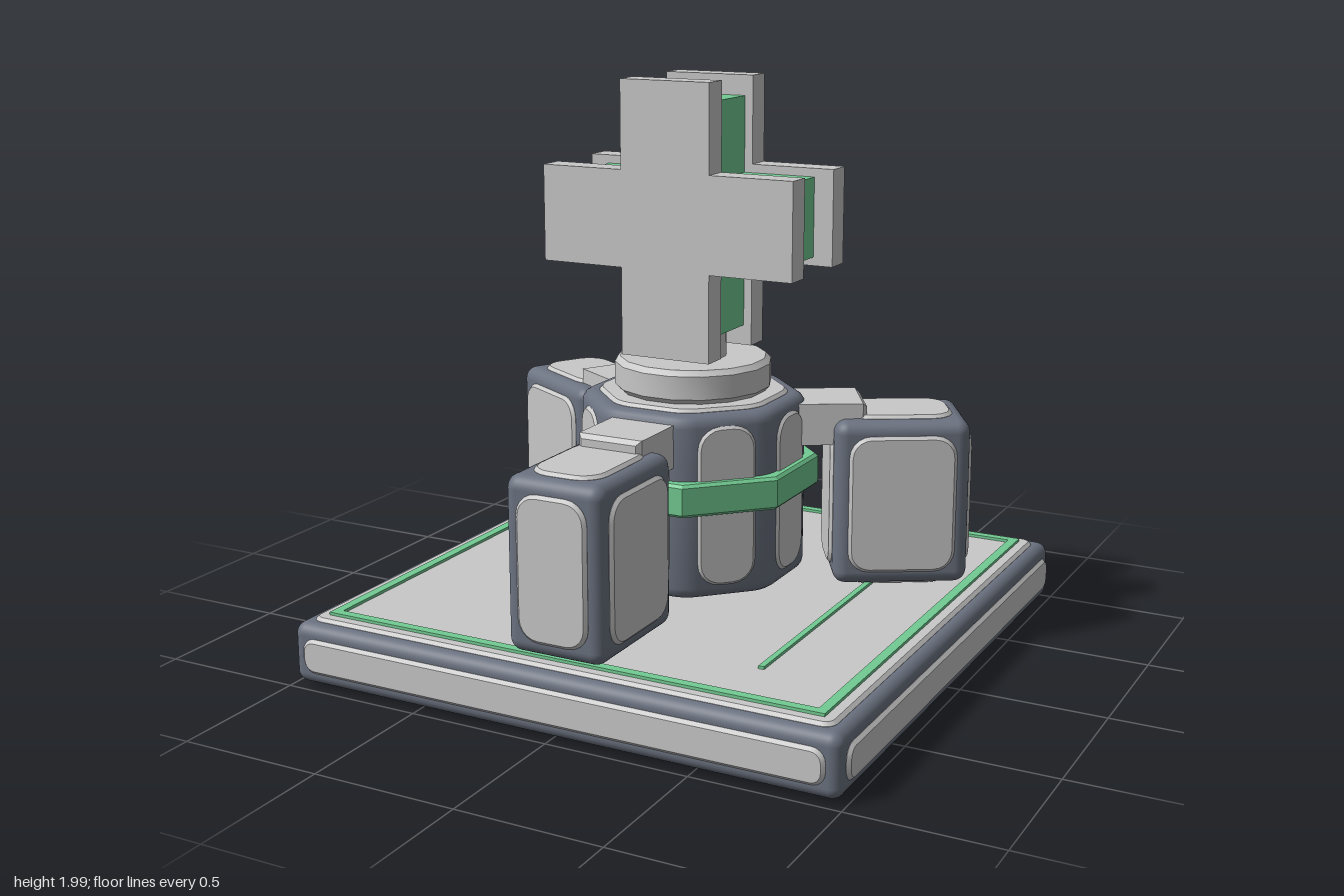
import * as THREE from 'three';
import { toCreasedNormals } from 'three/addons/utils/BufferGeometryUtils.js';
import { RoundedBoxGeometry } from 'three/addons/geometries/RoundedBoxGeometry.js';

const mat = (name, color) => {
  const m = new THREE.MeshStandardMaterial({ color });
  m.name = name;
  return m;
};

// polygon with rounded corners; r is the length cut from each side
function roundedPoly(points, r) {
  const s = new THREE.Shape();
  points.forEach((p, i) => {
    const prev = points[(i + points.length - 1) % points.length];
    const next = points[(i + 1) % points.length];
    const a = p.clone().add(prev.clone().sub(p).setLength(r));
    const b = p.clone().add(next.clone().sub(p).setLength(r));
    const c1 = a.clone().lerp(p, 0.55), c2 = b.clone().lerp(p, 0.55);
    if (i === 0) s.moveTo(a.x, a.y); else s.lineTo(a.x, a.y);
    s.bezierCurveTo(c1.x, c1.y, c2.x, c2.y, b.x, b.y);
  });
  s.closePath();
  return s;
}
const rectPoints = (w, h) => [[-1, -1], [1, -1], [1, 1], [-1, 1]]
  .map(([x, y]) => new THREE.Vector2(x * w / 2, y * h / 2));
// octagon with flat sides towards the axes, given centre-to-side distance
const octPoints = (d) => Array.from({ length: 8 }, (_, i) => {
  const a = (i + 0.5) * Math.PI / 4, R = d / Math.cos(Math.PI / 8);
  return new THREE.Vector2(R * Math.cos(a), R * Math.sin(a));
});
const extrude = (shape, depth, bevel, segments) => new THREE.ExtrudeGeometry(shape, {
  depth: depth - 2 * bevel, bevelThickness: bevel, bevelSize: bevel, bevelOffset: -bevel,
  bevelEnabled: bevel > 0, bevelSegments: segments, curveSegments: 5,
}).translate(0, 0, bevel);

export function createModel() {
  const light = mat('lightGrey', 0xc8c8c8);
  const dark = mat('slateGrey', 0x6b7280);
  const green = mat('green', 0x72cb92);
  const model = new THREE.Group();
  model.name = 'crossBeacon';

  const add = (parent, name, geo, material, x = 0, y = 0, z = 0) => {
    const m = new THREE.Mesh(geo, material);
    m.name = name;
    m.position.set(x, y, z);
    parent.add(m);
    return m;
  };

  // raised panel whose outer surface lies at distance d from a centre height y
  const panel = (parent, shape, y, rx, ry, d) => {
    const geo = toCreasedNormals(extrude(shape, 0.03, 0.011, 1).translate(0, 0, -0.03), 0.5);
    const m = add(parent, 'panel', geo, light, 0, y, 0);
    m.rotation.set(rx, ry, 0);
    m.translateZ(d);
  };

  // rounded dark box with a raised panel on all six sides
  const panelledBox = (name, w, h, l, r, inset, corner, capCorner, y) => {
    const g = new THREE.Group();
    g.name = name;
    add(g, name + 'Body', new RoundedBoxGeometry(w, h, l, 4, r), dark, 0, y, 0);
    const rect = (a, b, c) => roundedPoly(rectPoints(a - 2 * inset, b - 2 * inset), c);
    const out = 0.012, q = Math.PI / 2;
    for (const s of [0, 2]) {
      panel(g, rect(w, h, corner), y, 0, s * q, l / 2 + out);
      panel(g, rect(l, h, corner), y, 0, (s + 1) * q, w / 2 + out);
      panel(g, rect(w, l, capCorner), y, (s - 1) * q, 0, h / 2 + out);
    }
    return g;
  };

  // base slab with green floor markings
  model.add(panelledBox('base', 1.976, 0.21, 1.976, 0.04, 0.045, 0.045, 0.04, 0.117));
  const frame = roundedPoly(rectPoints(1.8, 1.8), 0.001);
  frame.holes.push(new THREE.Path(rectPoints(1.735, 1.735)));
  add(model, 'floorFrame', extrude(frame, 0.012, 0, 1).rotateX(-Math.PI / 2), green, 0, 0.232, 0);
  add(model, 'floorLine', new THREE.BoxGeometry(0.02, 0.012, 1.32), green, 0.58, 0.238, 0);

  // octagonal core with panels on every side
  const core = new THREE.Group();
  core.name = 'core';
  model.add(core);
  const coreGeo = extrude(roundedPoly(octPoints(0.365), 0.05), 0.63, 0.04, 4).rotateX(-Math.PI / 2);
  add(core, 'coreBody', toCreasedNormals(coreGeo, 0.6), dark, 0, 0.283, 0);
  for (let i = 0; i < 8; i++) {
    panel(core, roundedPoly(rectPoints(0.205, 0.55), 0.08), 0.603, 0, i * Math.PI / 4, 0.374);
  }
  for (const s of [-1, 1]) {
    panel(core, roundedPoly(octPoints(0.31), 0.05), 0.598, -s * Math.PI / 2, 0, 0.327);
  }

  // green belt around the core
  const belt = new THREE.Shape(octPoints(0.4));
  belt.holes.push(new THREE.Path(octPoints(0.34)));
  add(model, 'belt', extrude(belt, 0.112, 0.01, 1).rotateX(-Math.PI / 2), green, 0, 0.584, 0);

  // three pods on arms
  for (let i = 0; i < 3; i++) {
    const unit = new THREE.Group();
    unit.name = 'podUnit';
    unit.rotation.y = i * Math.PI * 2 / 3;
    model.add(unit);
    const pod = panelledBox('pod', 0.35, 0.58, 0.465, 0.045, 0.048, 0.075, 0.085, 0.543);
    pod.position.z = 0.708;
    unit.add(pod);
    const arm = extrude(new THREE.Shape(rectPoints(0.23, 0.145)), 0.29, 0.015, 1);
    add(unit, 'arm', arm, light, 0, 0.813, 0.3);
  }

  // collar and neck, bevelled at top and bottom
  const turned = (name, r, y0, y1, b, sides) => {
    const pts = [[0, y0], [r - b, y0], [r, y0 + b], [r, y1 - b], [r - b, y1], [0, y1]]
      .map(([x, y]) => new THREE.Vector2(x, y));
    const geo = new THREE.LatheGeometry(pts, sides, Math.PI / sides);
    add(model, name, toCreasedNormals(geo, 0.6), light);
  };
  turned('collar', 0.27, 0.925, 1.04, 0.018, 16);
  turned('neck', 0.115, 1.03, 1.15, 0.01, 16);

  // cross sign: green middle between two larger light plates
  const cross = (half, w, depth) => {
    const pts = [];
    for (let i = 0; i < 4; i++) {
      for (const [x, y] of [[half, -w], [half, w], [w, w]]) {
        pts.push(new THREE.Vector2(x, y).rotateAround(new THREE.Vector2(), i * Math.PI / 2));
      }
    }
    return extrude(new THREE.Shape(pts), depth, 0, 1).translate(0, 0, -depth / 2);
  };
  add(model, 'crossMiddle', cross(0.393, 0.135, 0.235), green, 0, 1.525, 0);
  for (const s of [-1, 1]) {
    add(model, 'crossPlate', cross(0.462, 0.164, 0.091), light, 0, 1.525, s * 0.161);
  }
  return model;
}
